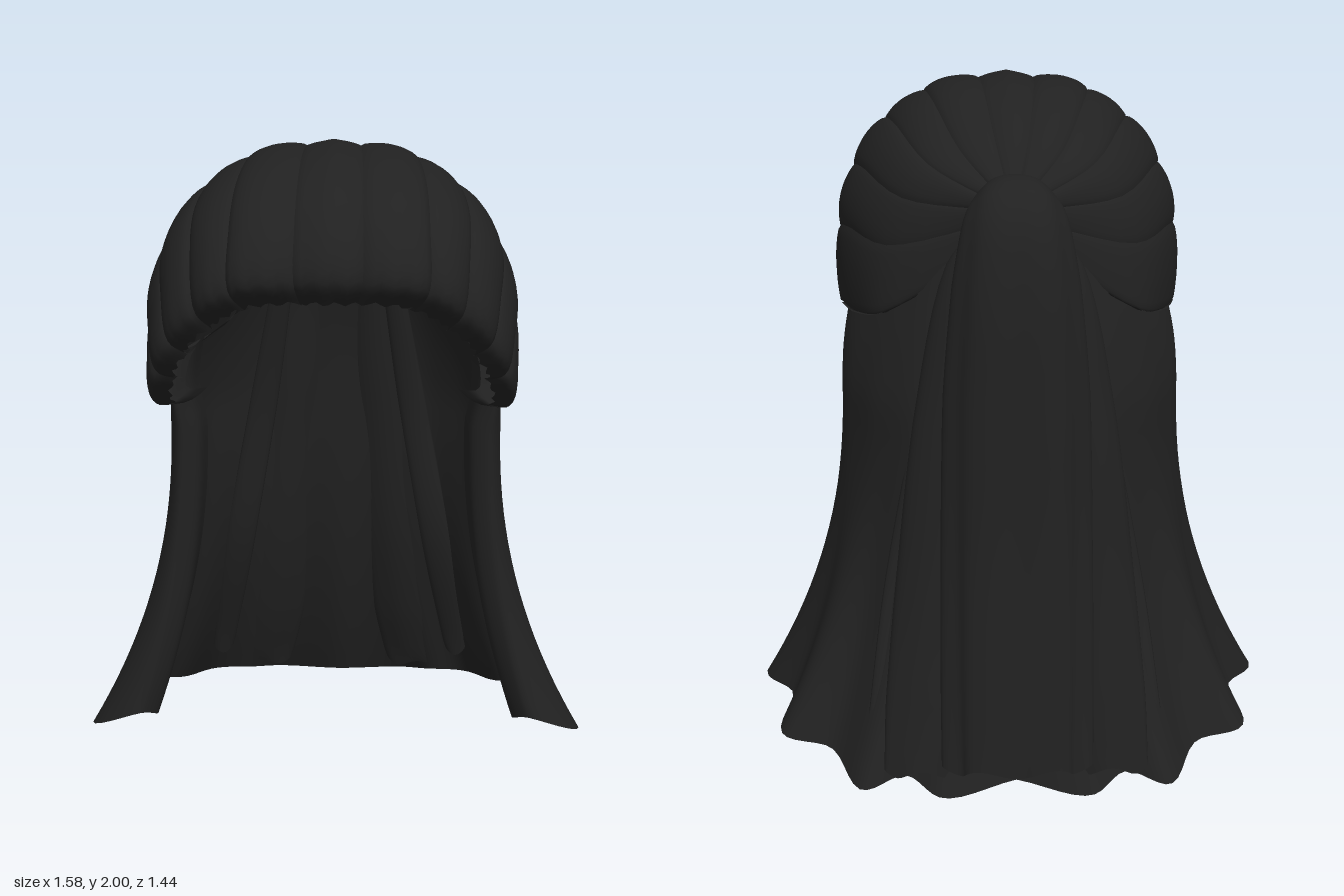
import * as THREE from 'three';

const hair = new THREE.MeshStandardMaterial({ color: 0x212121, side: THREE.DoubleSide });
hair.name = 'black hair';

const V = (p) => new THREE.Vector3(...p);
const spline = (pts) => new THREE.CatmullRomCurve3(pts.map(V), false, 'centripetal');

// Smooth sheet through fn(u, v); wrap closes it into a tube
function sheet(name, nu, nv, fn, wrap = false) {
  const pos = [], idx = [];
  const cols = wrap ? nu : nu + 1;
  for (let j = 0; j <= nv; j++) {
    for (let i = 0; i < cols; i++) pos.push(...fn(i / nu, j / nv).toArray());
  }
  for (let j = 0; j < nv; j++) {
    for (let i = 0; i < nu; i++) {
      const a = j * cols + i, b = j * cols + ((i + 1) % cols);
      idx.push(a, b, a + cols, b, b + cols, a + cols);
    }
  }
  const g = new THREE.BufferGeometry();
  g.setAttribute('position', new THREE.Float32BufferAttribute(pos, 3));
  g.setIndex(idx);
  g.computeVertexNormals();
  const mesh = new THREE.Mesh(g, hair);
  mesh.name = name;
  return mesh;
}

// Guide strands of the swept-back crown, knot to curled tip, centre to side
const guides = [
  [[0, 1.72, -.33], [0, 1.86, -.19], [0, 1.975, .06], [0, 1.97, .38], [0, 1.86, .62], [0, 1.70, .71], [0, 1.62, .66]],
  [[.03, 1.72, -.33], [.13, 1.83, -.2], [.21, 1.945, .07], [.24, 1.925, .38], [.25, 1.82, .59], [.25, 1.67, .68], [.21, 1.60, .62]],
  [[.05, 1.70, -.33], [.25, 1.77, -.21], [.37, 1.84, .08], [.41, 1.80, .36], [.405, 1.71, .52], [.385, 1.57, .60], [.34, 1.51, .55]],
  [[.05, 1.67, -.33], [.34, 1.62, -.21], [.48, 1.64, .05], [.515, 1.59, .28], [.50, 1.52, .43], [.475, 1.43, .505], [.42, 1.39, .46]],
  [[.03, 1.60, -.33], [.37, 1.37, -.24], [.46, 1.33, -.1], [.51, 1.31, .08], [.52, 1.28, .2], [.505, 1.25, .31], [.44, 1.25, .29]],
].map(spline);

function crownPoint(a, v) {
  const p = spline(guides.map((c) => c.getPoint(v).toArray())).getPoint(Math.min(1, Math.abs(a)));
  if (a < 0) p.x *= -1;
  return p;
}

// Crown: overlapping rounded locks fanning out of the knot
function crown() {
  const group = new THREE.Group();
  group.name = 'crown';
  const n = 11, centre = new THREE.Vector3(0, 1.5, .1);
  for (let k = 0; k < n; k++) {
    const a0 = -1 + (2 * k) / n, mid = Math.abs(k - (n - 1) / 2);
    const lift = .008 * (mid % 2);
    group.add(sheet('crownLock', 12, 28, (u, v) => {
      const s = u * 1.1 - .05;
      const tip = .985 - .02 * Math.abs(u - .5) - .015 * Math.cos(u * 21 + mid);
      const p = crownPoint(a0 + (2 / n) * s, v * tip);
      const swell = Math.sqrt(Math.max(0, Math.sin(Math.PI * u)));
      const offset = (-.024 + .038 * swell + lift) * (.15 + .85 * v);
      return p.addScaledVector(p.clone().sub(centre).normalize(), offset);
    }));
  }
  // Turned-under lower edge of each side
  for (const s of [-1, 1]) {
    group.add(sheet('underEdge', 4, 16, (u, v) => {
      const p = crownPoint(s, v * .97);
      p.x -= s * u * .09 * Math.min(1, v * 4);
      p.y += .05 * u * u;
      return p;
    }));
  }
  return group;
}

// Curtain outlines from centre back to front edge, then folded inward
const rimTop = spline([[0, 1.62, -.32], [.1, 1.62, -.31], [.18, 1.6, -.28], [.24, 1.56, -.25], [.3, 1.5, -.21], [.36, 1.46, -.15], [.42, 1.42, -.08], [.465, 1.38, -.01], [.475, 1.36, .075], [.43, 1.36, .05], [.4, 1.38, -.04]]);
const rimMid = spline([[0, 1.1, -.4], [.12, 1.1, -.4], [.22, 1.1, -.38], [.31, 1.1, -.345], [.39, 1.1, -.28], [.45, 1.1, -.2], [.495, 1.1, -.12], [.51, 1.1, -.02], [.475, 1.1, .055], [.42, 1.1, .03], [.4, 1.1, -.06]]);
const rimLow = spline([[0, .02, -.58], [.22, .0, -.63], [.33, .03, -.56], [.46, .005, -.585], [.56, .05, -.42], [.71, .07, -.36], [.69, .11, -.18], [.79, .09, .02], [.62, .18, .14], [.57, .15, .07], [.6, .12, -.04]]);

function curtain() {
  return sheet('backCurtain', 112, 28, (u, v) => {
    const s = u * 2 - 1, t = Math.abs(s);
    const top = rimTop.getPoint(t), mid = rimMid.getPoint(t), low = rimLow.getPoint(t);
    let p;
    if (v < .3) {
      const full = Math.sin(Math.PI * v / .3) * .02;
      p = top.lerp(mid, v / .3);
      p.z -= full * (1 - t);
      p.x += full * t;
    } else {
      const k = (v - .3) / .7;
      p = mid.clone().lerp(low, Math.pow(k, 2.15));
      p.y = mid.y + (low.y - mid.y) * k;
    }
    p.z += .006 * v * Math.cos(t * 34);
    if (s < 0) p.x *= -1;
    return p;
  });
}

// Lock with a grooved oval section; stations are [x, y, z, half width, half depth]
function lock(name, stations, grooves, depth, nu = 40) {
  const path = spline(stations.map((s) => s.slice(0, 3)));
  const size = spline(stations.map((s) => [s[3], s[4], 0]));
  return sheet(name, nu, 30, (u, v) => {
    const w = u * Math.PI * 2, p = path.getPoint(v), r = size.getPoint(v);
    const dir = path.getTangent(v);
    const out = new THREE.Vector3(0, dir.z, -dir.y).normalize();
    const k = 1 - depth * v * Math.pow(Math.abs(Math.sin(w * grooves / 2)), 3);
    p.x += Math.cos(w) * r.x * k;
    p.addScaledVector(out, Math.sin(w) * r.y * k);
    if (v === 1) p.y += .012 * Math.cos(w * grooves);
    return p;
  }, true);
}

export function createModel() {
  const model = new THREE.Group();
  model.name = 'hair';
  model.add(crown(), curtain());

  // Ponytail rising out of the knot and falling down the back
  model.add(lock('ponytail', [
    [0, 1.69, -.31, .07, .05], [0, 1.735, -.39, .095, .065], [0, 1.7, -.475, .14, .1],
    [0, 1.53, -.525, .175, .105], [0, 1.2, -.55, .205, .1], [0, .8, -.57, .215, .095],
    [0, .4, -.615, .22, .085], [0, .11, -.655, .22, .07],
  ], 6, .14, 72));

  for (const s of [-1, 1]) {
    // Flanking locks beside the ponytail
    model.add(lock('flankLock', [
      [s * .03, 1.67, -.35, .05, .05], [s * .1, 1.55, -.40, .09, .065], [s * .17, 1.1, -.44, .12, .07],
      [s * .22, .6, -.48, .13, .07], [s * .25, .3, -.53, .13, .06], [s * .28, .06, -.585, .11, .04],
    ], 4, .1));
    // Thin inner locks lining the curtain
    model.add(lock('innerLock', [
      [s * .16, 1.58, -.26, .03, .015], [s * .24, 1.1, -.335, .045, .02],
      [s * .33, .6, -.365, .05, .02], [s * .41, .13, -.5, .035, .015],
    ], 2, .1, 16));
  }

  // Wrapped knot
  const knot = new THREE.Mesh(new THREE.TorusGeometry(.075, .032, 10, 28), hair);
  knot.name = 'knot';
  knot.position.set(0, 1.695, -.345);
  knot.rotation.x = -.35;
  knot.scale.set(1.05, .95, 1.2);
  model.add(knot);
  return model;
}
